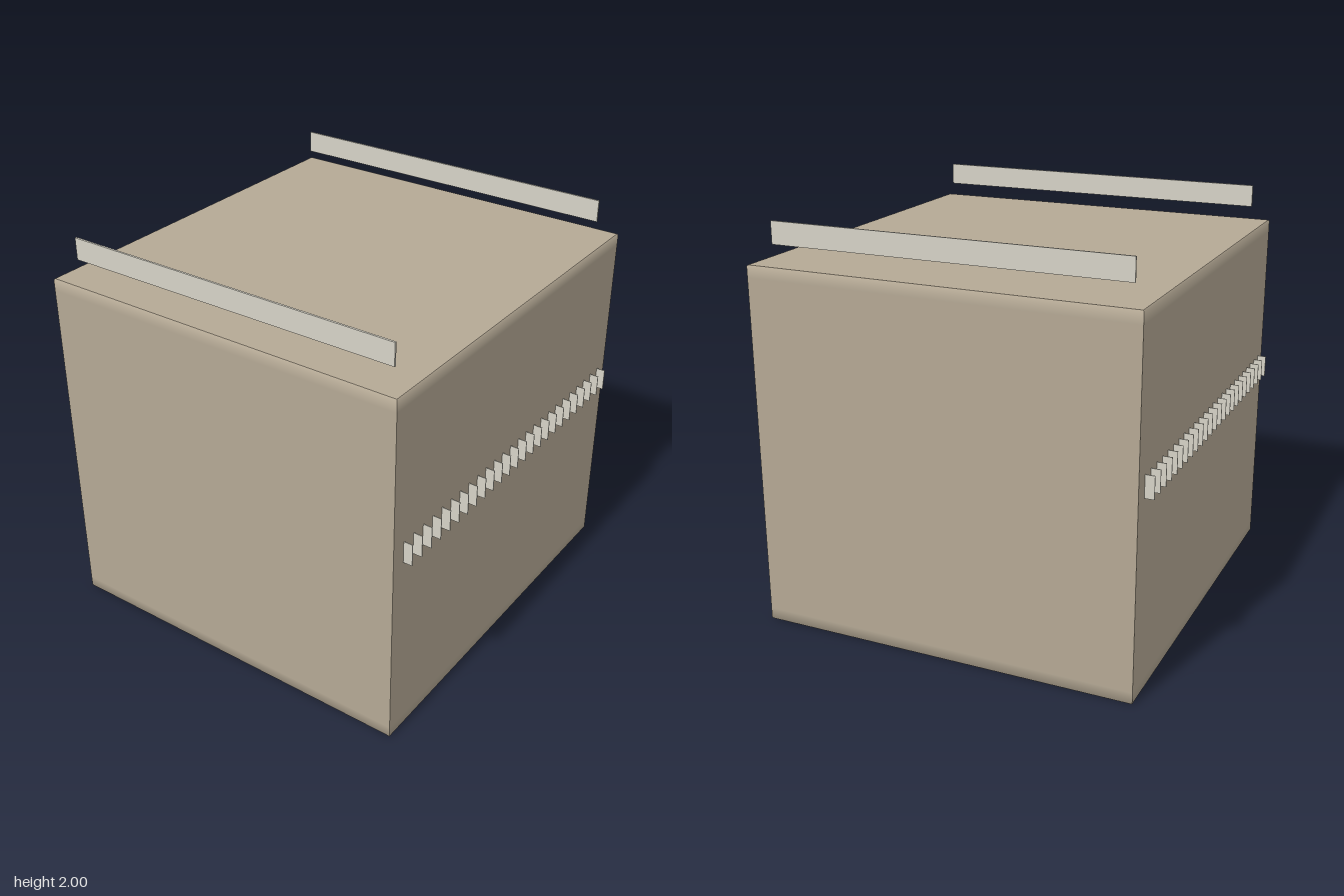
import * as THREE from 'three';

const bodyMat = new THREE.MeshStandardMaterial({ color: 0xb5a995 });
const trimMat = new THREE.MeshStandardMaterial({ color: 0xd6d3c7 });

function box(name, size, position, material) {
  const mesh = new THREE.Mesh(new THREE.BoxGeometry(...size), material);
  mesh.name = name;
  mesh.position.set(...position);
  return mesh;
}

// Block with softened top and bottom rims: narrow bands at both ends of each wall
function bodyGeometry(width, height, depth) {
  const geo = new THREE.BoxGeometry(width, height, depth, 1, 5, 1);
  const levels = [0, 0.006, 0.06, height - 0.06, height - 0.006, height];
  const pos = geo.attributes.position, nor = geo.attributes.normal;
  const inset = 0.005;
  for (let i = 0; i < pos.count; i++) {
    const row = Math.round((pos.getY(i) / height + 0.5) * 5);
    pos.setY(i, levels[row]);
    const end = row === 0 ? -1 : row === 5 ? 1 : 0;
    if (end) {
      pos.setX(i, pos.getX(i) - Math.sign(pos.getX(i)) * inset);
      pos.setZ(i, pos.getZ(i) - Math.sign(pos.getZ(i)) * inset);
    }
    // Wall normals lean outward at the rims for a soft rounded look
    const lean = [-0.8, -0.5, 0, 0, 0.5, 0.8][row];
    if (Math.abs(nor.getY(i)) < 0.5 && lean) {
      const n = new THREE.Vector3(nor.getX(i), lean, nor.getZ(i)).normalize();
      nor.setXYZ(i, n.x, n.y, n.z);
    }
  }
  return geo;
}

export function createModel() {
  const model = new THREE.Group();
  model.name = 'ventedBlock';

  const body = new THREE.Mesh(bodyGeometry(2, 1.808, 1.91), bodyMat);
  body.name = 'body';
  model.add(body);

  // Thin rails floating above the roof
  model.add(box('leftRail', [0.008, 0.11, 1.76], [0.896, 1.945, 0], trimMat));
  model.add(box('rightRail', [0.01, 0.11, 1.76], [-0.904, 1.945, 0], trimMat));

  // Rows of upright fins across the front and back
  const count = 25;
  for (const side of [1, -1]) {
    const row = new THREE.Group();
    row.name = side > 0 ? 'frontFins' : 'backFins';
    for (let i = 0; i < count; i++) {
      const x = -0.921 + (1.842 * i) / (count - 1);
      row.add(box('fin', [0.004, 0.11, 0.055], [x, 1.02, side * 0.9725], trimMat));
    }
    model.add(row);
  }
  return model;
}
